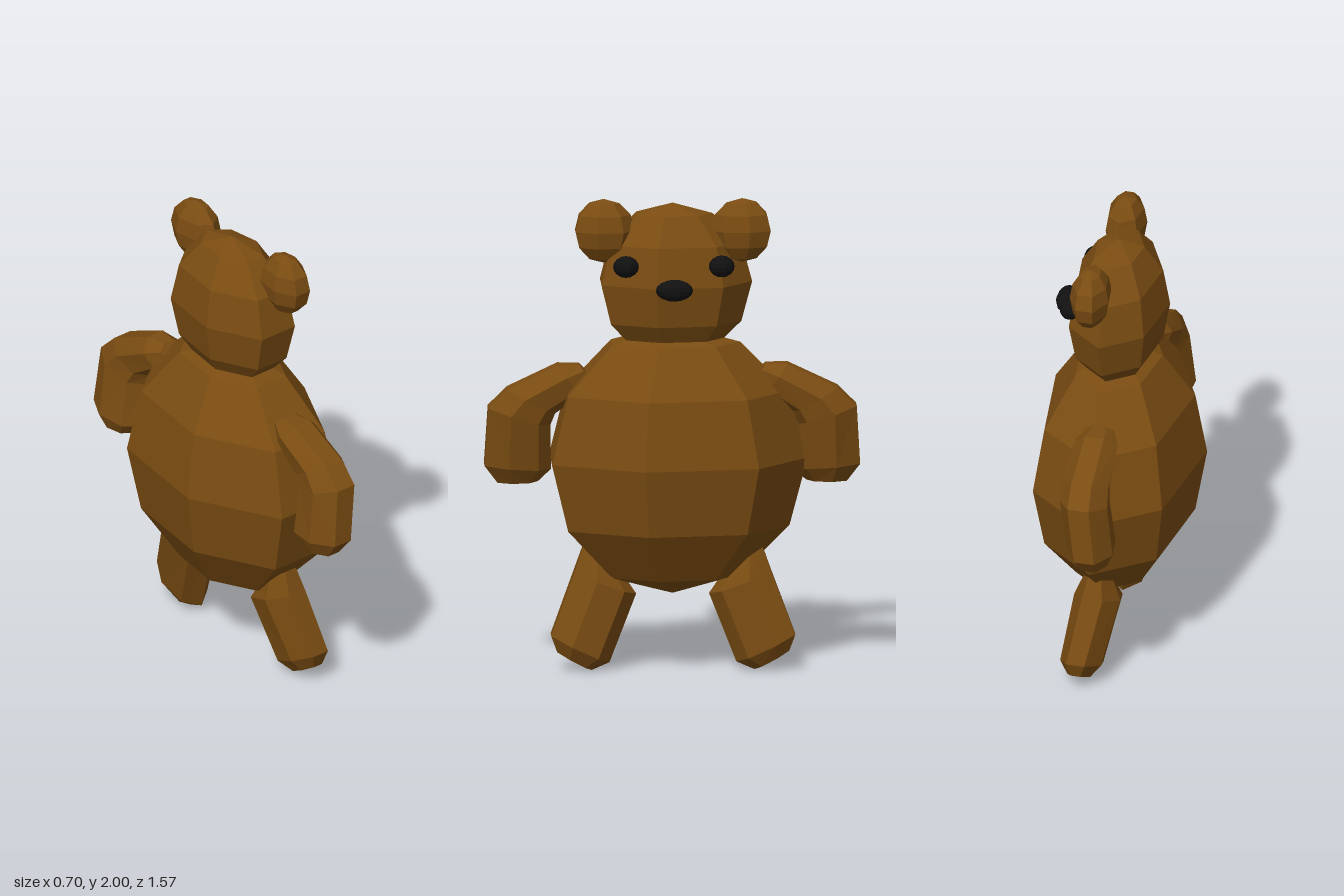
import * as THREE from 'three';

const SIDES = 7;
const fur = new THREE.MeshStandardMaterial({ color: 0x7a4c12, flatShading: true });
const black = new THREE.MeshStandardMaterial({ color: 0x111111, flatShading: true });

// Faceted ellipsoid; dir is the z side on which one column of corners lies.
function ball(name, center, radii, material = fur, sides = SIDES, rings = 6, dir = -1) {
  const geo = new THREE.SphereGeometry(1, sides, rings);
  geo.rotateY(dir * Math.PI / 2);
  geo.scale(...radii);
  const mesh = new THREE.Mesh(geo, material);
  mesh.position.set(...center);
  mesh.name = name;
  return mesh;
}

// Seven-sided limb. Each ring: [outer z, outer y, inner z, inner y, centre x, half width].
// side = 1 or -1 mirrors it across z.
function limb(name, rings, side) {
  const pos = [], index = [];
  const flat = Math.cos(Math.PI / SIDES);
  for (const [oz, oy, iz, iy, cx, w] of rings) {
    for (let j = 0; j < SIDES; j++) {
      const a = (j + 0.5) / SIDES * Math.PI * 2;
      const t = (Math.cos(a) + 1) / (flat + 1);
      pos.push(cx + w * Math.sin(a), iy + (oy - iy) * t, side * (iz + (oz - iz) * t));
    }
  }
  const tri = (a, b, c) => (side > 0 ? index.push(a, b, c) : index.push(a, c, b));
  const last = (rings.length - 1) * SIDES;
  for (let i = 0; i < last; i += SIDES) {
    for (let j = 0; j < SIDES; j++) {
      const k = (j + 1) % SIDES;
      tri(i + j, i + SIDES + j, i + SIDES + k);
      tri(i + j, i + SIDES + k, i + k);
    }
  }
  // End caps
  for (let j = 1; j < SIDES - 1; j++) {
    tri(0, j, j + 1);
    tri(last, last + j + 1, last + j);
  }
  const geo = new THREE.BufferGeometry();
  geo.setAttribute('position', new THREE.Float32BufferAttribute(pos, 3));
  geo.setIndex(index);
  geo.computeVertexNormals();
  const mesh = new THREE.Mesh(geo, fur);
  mesh.name = name;
  return mesh;
}

// Shoulder to hand
const ARM = [
  [0.39, 1.29, 0.34, 1.23, -0.02, 0.06],
  [0.48, 1.29, 0.38, 1.16, -0.02, 0.095],
  [0.69, 1.19, 0.49, 1.08, -0.02, 0.1],
  [0.77, 1.11, 0.51, 1.03, -0.025, 0.105],
  [0.785, 0.86, 0.505, 0.84, -0.055, 0.1],
  [0.73, 0.785, 0.56, 0.787, -0.06, 0.065],
];

// Hip to foot
const LEG = [
  [0.375, 0.52, 0.22, 0.42, 0.005, 0.065],
  [0.41, 0.42, 0.152, 0.32, 0.01, 0.102],
  [0.51, 0.155, 0.265, 0.037, 0.055, 0.09],
  [0.485, 0.085, 0.34, 0.005, 0.06, 0.05],
];

export function createModel() {
  const bear = new THREE.Group();
  bear.name = 'bear';

  bear.add(ball('body', [0, 0.89, 0], [0.357, 0.57, 0.565]));
  bear.add(ball('head', [0, 1.64, 0], [0.207, 0.335, 0.333]));
  bear.add(ball('nose', [0.225, 1.64, 0], [0.043, 0.046, 0.078], black, 10, 8));

  for (const side of [1, -1]) {
    const tag = side > 0 ? 'left' : 'right';
    bear.add(ball(tag + 'Ear', [0.045, 1.865, side * 0.29], [0.086, 0.135, 0.131], fur, SIDES, 6, -side));
    bear.add(ball(tag + 'Eye', [0.157, 1.73, side * 0.2], [0.045, 0.046, 0.054], black, 10, 8));
    bear.add(limb(tag + 'Arm', ARM, side));
    bear.add(limb(tag + 'Leg', LEG, side));
  }
  return bear;
}
